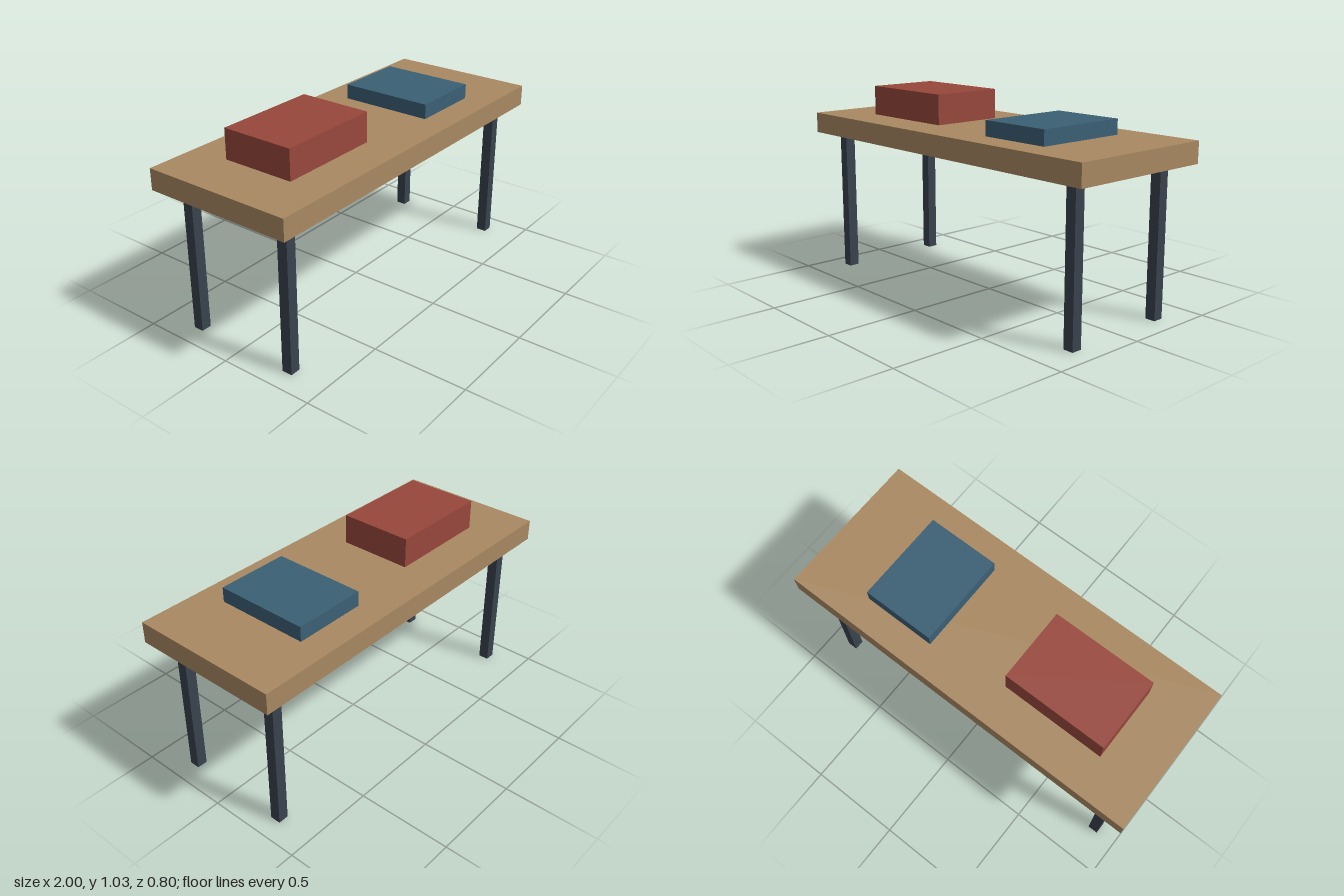
import * as THREE from 'three';

const material = (color) => new THREE.MeshStandardMaterial({ color });

// Box resting with its underside at the given height
function box(name, [w, h, d], [x, bottom, z], mat) {
  const mesh = new THREE.Mesh(new THREE.BoxGeometry(w, h, d), mat);
  mesh.name = name;
  mesh.position.set(x, bottom + h / 2, z);
  return mesh;
}

export function createModel() {
  const table = new THREE.Group();
  table.name = 'table';

  const wood = material(0xa98962);
  const metal = material(0x39424d);
  const legHeight = 0.768;
  const topThickness = 0.11;
  const surface = legHeight + topThickness;

  // Table top
  table.add(box('tableTop', [2, topThickness, 0.8], [0, legHeight, 0], wood));

  // Four square legs
  for (const [side, sx] of [['Left', 1], ['Right', -1]]) {
    for (const [end, sz] of [['front', 1], ['back', -1]]) {
      table.add(box(`${end}${side}Leg`, [0.055, legHeight, 0.055], [sx * 0.867, 0, sz * 0.289], metal));
    }
  }

  // Blocks lying on the table
  table.add(box('redBlock', [0.554, 0.157, 0.39], [-0.445, surface, 0], material(0x98473c)));
  table.add(box('blueBlock', [0.388, 0.078, 0.5], [0.444, surface, 0], material(0x3b6074)));

  return table;
}
